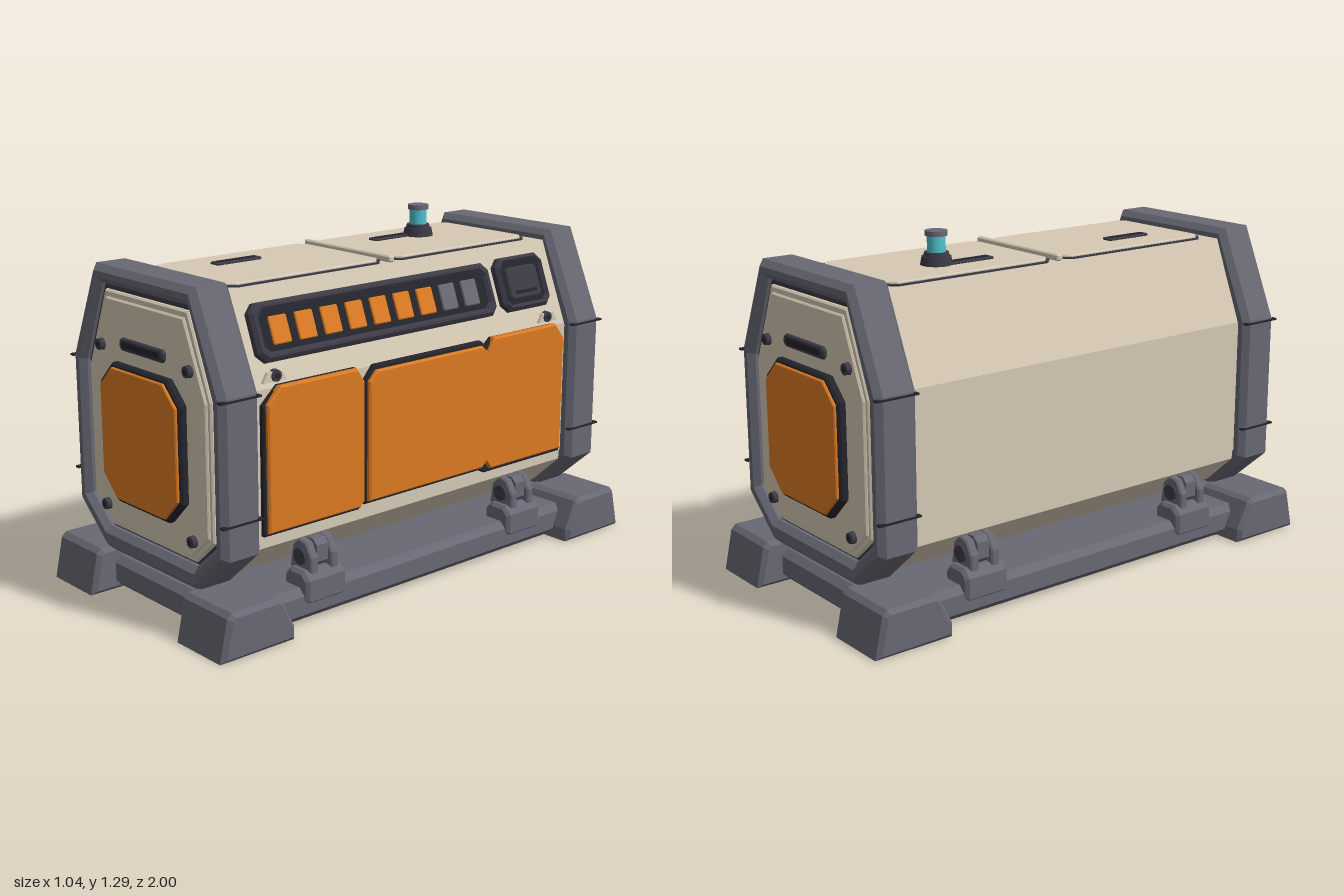
import * as THREE from 'three';

const mat = (name, color) => {
  const m = new THREE.MeshStandardMaterial({ color });
  m.name = name;
  return m;
};
const cream = mat('cream shell', 0xd6cab5);
const grey = mat('grey frame', 0x686874);
const dark = mat('dark trim', 0x3b3a46);
const black = mat('black recess', 0x24242c);
const orange = mat('orange panel', 0xdc7a22);
const teal = mat('teal lamp', 0x4fc3d0);

// Flat plate with chamfered edges: outline in xy, thickness from z = 0 towards +z
function plate(name, material, pts, depth, bevel = 0, hole = null) {
  const shape = new THREE.Shape(pts.map(p => new THREE.Vector2(...p)));
  if (hole) shape.holes.push(new THREE.Path(hole.map(p => new THREE.Vector2(...p))));
  const geo = new THREE.ExtrudeGeometry(shape, {
    depth: depth - 2 * bevel, bevelEnabled: bevel > 0,
    bevelThickness: bevel, bevelSize: bevel, bevelOffset: -bevel, bevelSegments: 1,
  });
  geo.translate(0, 0, bevel);
  const mesh = new THREE.Mesh(geo, material);
  mesh.name = name;
  return mesh;
}

// Outlines, counter-clockwise
const mirrored = half => [...half, ...half.slice().reverse().map(([x, y]) => [-x, y])];
const cutRect = (x0, x1, y0, y1, c, d = c) => [
  [x0 + c, y0], [x1 - c, y0], [x1, y0 + c], [x1, y1 - d],
  [x1 - d, y1], [x0 + d, y1], [x0, y1 - d], [x0, y0 + c]];

function cylinder(name, material, r0, r1, h, sides = 24) {
  const mesh = new THREE.Mesh(new THREE.CylinderGeometry(r0, r1, h, sides), material);
  mesh.name = name;
  return mesh;
}

// Bolt facing +z
function bolt(x, y, z) {
  const g = new THREE.Group();
  g.name = 'bolt';
  const head = cylinder('boltHead', dark, 0.02, 0.022, 0.02, 12);
  const socket = cylinder('boltSocket', black, 0.011, 0.011, 0.004, 6);
  head.rotation.x = socket.rotation.x = Math.PI / 2;
  socket.position.z = 0.01;
  g.add(head, socket);
  g.position.set(x, y, z);
  return g;
}

// One end of the casing, facing +z
function endCap() {
  const g = new THREE.Group();
  g.name = 'endCap';
  const add = (mesh, z) => { mesh.position.z = z; g.add(mesh); };
  const outer = mirrored([[0.27, 0.16], [0.44, 0.31], [0.44, 0.86], [0.29, 1.2]]);
  const hole = mirrored([[0.26, 0.245], [0.375, 0.345], [0.375, 0.84], [0.255, 1.135]]);
  add(plate('endFrame', grey, outer, 0.16, 0.022, hole), 0.765);
  add(plate('endRecess', dark, hole, 0.09), 0.8);
  add(plate('endPanel', cream, mirrored([[0.25, 0.255], [0.357, 0.35], [0.357, 0.83], [0.242, 1.115]]), 0.05, 0.006), 0.855);
  add(plate('endPanelStep', cream, mirrored([[0.238, 0.272], [0.34, 0.362], [0.34, 0.825], [0.227, 1.092]]), 0.05, 0.006), 0.863);
  add(plate('hatchFrame', black, cutRect(-0.236, 0.236, 0.375, 0.876, 0.086, 0.075), 0.035, 0.008), 0.908);
  add(plate('hatch', orange, cutRect(-0.222, 0.222, 0.389, 0.862, 0.08, 0.07), 0.03, 0.004), 0.923);
  add(plate('endGrip', dark, cutRect(-0.13, 0.13, 0.923, 0.967, 0.012), 0.018, 0.005), 0.911);
  add(plate('endGripSlot', black, cutRect(-0.11, 0.11, 0.934, 0.956, 0.006), 0.003), 0.928);
  for (const x of [-0.257, 0.257]) for (const y of [0.335, 0.92]) g.add(bolt(x, y, 0.921));
  // thin seams across the sides of the frame
  for (const s of [-1, 1]) for (const y of [0.43, 0.85]) {
    const seam = new THREE.Mesh(new THREE.BoxGeometry(0.02, 0.007, 0.166), black);
    seam.name = 'frameSeam';
    seam.position.set(s * 0.434, y, 0.847);
    g.add(seam);
  }
  return g;
}

// Hinged clamp on the +x side, centred on z = 0
function clamp() {
  const g = new THREE.Group();
  g.name = 'clamp';
  const block = plate('clampBlock', grey, cutRect(0.33, 0.457, 0.08, 0.19, 0.005, 0.03), 0.18, 0.012);
  block.position.z = -0.09;
  g.add(block);
  for (const z of [-0.063, 0.028]) {
    const lug = plate('clampLug', grey, [[0.33, 0.18], [0.445, 0.18], [0.445, 0.235], [0.415, 0.285], [0.375, 0.295], [0.345, 0.27]], 0.035, 0.006);
    lug.position.z = z;
    g.add(lug);
  }
  const pin = cylinder('clampPin', dark, 0.03, 0.03, 0.145, 16);
  pin.rotation.x = Math.PI / 2;
  pin.position.set(0.39, 0.232, 0);
  const arm = plate('clampArm', grey, cutRect(0.345, 0.43, 0.19, 0.29, 0.02), 0.05);
  arm.position.z = -0.025;
  g.add(pin, arm);
  return g;
}

// Orange panels on the +x side; drawn with x = -z of the model
function sideDoors() {
  const g = new THREE.Group();
  g.name = 'sideDoors';
  const pairs = [
    [[[-0.737, 0.348], [-0.315, 0.348], [-0.292, 0.375], [-0.292, 0.805], [-0.33, 0.862], [-0.67, 0.862], [-0.737, 0.8]],
      [[-0.727, 0.36], [-0.318, 0.36], [-0.301, 0.38], [-0.301, 0.81], [-0.335, 0.862], [-0.672, 0.862], [-0.727, 0.805]]],
    [[[-0.29, 0.36], [0.285, 0.36], [0.315, 0.345], [0.737, 0.345], [0.737, 0.8], [0.68, 0.862], [0.34, 0.862], [0.31, 0.835], [0.285, 0.858], [-0.245, 0.858], [-0.29, 0.805]],
      [[-0.28, 0.372], [0.29, 0.372], [0.31, 0.39], [0.335, 0.36], [0.727, 0.36], [0.727, 0.805], [0.68, 0.865], [0.34, 0.865], [0.31, 0.815], [0.28, 0.842], [-0.245, 0.842], [-0.28, 0.805]]]];
  for (const [back, front] of pairs) {
    g.add(plate('doorTrim', black, back, 0.025, 0.005));
    const door = plate('door', orange, front, 0.03, 0.006);
    door.position.z = 0.01;
    g.add(door);
  }
  for (const s of [-1, 1]) {
    const tab = plate('boltTab', cream, [[s * 0.62, 0.87], [s * 0.72, 0.87], [s * 0.7, 0.905], [s * 0.64, 0.905]], 0.012);
    tab.position.z = -0.008;
    g.add(tab, bolt(s * 0.665, 0.89, 0.0));
  }
  g.rotation.y = Math.PI / 2;
  g.position.x = 0.39;
  return g;
}

// Gauge and switch on the +x slope; local z points out of the slope
function controls() {
  const g = new THREE.Group();
  g.name = 'controls';
  const add = (mesh, z) => { mesh.position.z = z; g.add(mesh); };
  add(plate('gaugeFrame', dark, cutRect(-0.728, 0.396, -0.1, 0.1, 0.03), 0.045, 0.012, cutRect(-0.692, 0.36, -0.068, 0.068, 0.02)), 0);
  add(plate('gaugeBack', black, cutRect(-0.7, 0.37, -0.075, 0.075, 0.02), 0.03), 0);
  for (let i = 0; i < 9; i++) {
    const x = -0.617 + i * 0.1118;
    add(plate('gaugeCell', i < 7 ? orange : grey, cutRect(x - 0.038, x + 0.038, -0.048, 0.048, 0.004), 0.012, 0.003), 0.026);
  }
  add(plate('switchFrame', dark, cutRect(0.434, 0.69, -0.1, 0.105, 0.03), 0.045, 0.012, cutRect(0.46, 0.665, -0.076, 0.08, 0.02)), 0);
  add(plate('switchBack', black, cutRect(0.45, 0.675, -0.085, 0.09, 0.02), 0.03), 0);
  add(plate('switchRocker', dark, cutRect(0.478, 0.647, -0.06, 0.064, 0.012), 0.016, 0.006), 0.026);
  add(plate('switchSlit', black, cutRect(0.505, 0.62, -0.04, -0.028, 0.002), 0.003), 0.041);
  const up = new THREE.Vector3(-0.12, 0.31, 0).normalize();
  const side = new THREE.Vector3(0, 0, -1);
  const out = new THREE.Vector3().crossVectors(side, up);
  g.quaternion.setFromRotationMatrix(new THREE.Matrix4().makeBasis(side, up, out));
  g.position.set(0.325, 1.02, 0);
  return g;
}

// Lids and grips on the roof; drawn with y = -z of the model
function roof() {
  const g = new THREE.Group();
  g.name = 'roof';
  const add = (mesh, z) => { mesh.position.z = z; g.add(mesh); };
  for (const [a, b, h0, h1] of [[-0.725, -0.02, -0.55, -0.35], [0.025, 0.733, 0.2, 0.4]]) {
    add(plate('lidSeam', dark, cutRect(-0.243, 0.227, a, b, 0.035), 0.006), 0);
    add(plate('lid', cream, cutRect(-0.233, 0.217, a + 0.01, b - 0.01, 0.031), 0.014, 0.004), 0);
    add(plate('lidGrip', dark, cutRect(-0.116, -0.066, h0, h1, 0.008), 0.01, 0.003), 0.012);
    add(plate('lidGripSlot', black, cutRect(-0.102, -0.08, h0 + 0.015, h1 - 0.015, 0.004), 0.002), 0.0215);
  }
  add(plate('lidHinge', cream, cutRect(-0.24, 0.235, -0.012, 0.014, 0.004), 0.024, 0.005), 0);
  g.rotation.x = -Math.PI / 2;
  g.position.y = 1.161;
  return g;
}

// Signal lamp on the roof
function beacon() {
  const g = new THREE.Group();
  g.name = 'beacon';
  for (const [name, m, r0, r1, y0, y1] of [
    ['beaconFoot', dark, 0.052, 0.059, 1.17, 1.205], ['beaconCollar', dark, 0.043, 0.046, 1.205, 1.22],
    ['beaconLamp', teal, 0.033, 0.033, 1.22, 1.28], ['beaconCap', grey, 0.04, 0.04, 1.277, 1.295]]) {
    const c = cylinder(name, m, r0, r1, y1 - y0);
    c.position.y = (y0 + y1) / 2;
    g.add(c);
  }
  g.position.set(-0.068, 0, -0.42);
  return g;
}

export function createModel() {
  const model = new THREE.Group();
  model.name = 'generator';

  const shell = plate('shell', cream, mirrored([[0.26, 0.18], [0.39, 0.3], [0.39, 0.85], [0.27, 1.16]]), 1.64);
  shell.position.z = -0.82;
  model.add(shell, sideDoors(), controls(), roof(), beacon());

  // base plate
  const base = plate('base', grey, cutRect(-0.44, 0.44, -0.9, 0.9, 0.03), 0.118, 0.025);
  base.rotation.x = -Math.PI / 2;
  base.position.y = 0.012;
  model.add(base);

  // both ends, four feet and four clamps
  for (const s of [1, -1]) {
    const end = endCap();
    end.rotation.y = s > 0 ? 0 : Math.PI;
    model.add(end);
    for (const t of [1, -1]) {
      const foot = plate('foot', grey, [[-1, 0], [-0.69, 0], [-0.69, 0.05], [-0.74, 0.155], [-0.76, 0.168], [-0.95, 0.168], [-0.968, 0.15]], 0.268, 0.016);
      foot.geometry.translate(0, 0, -0.134);
      foot.rotation.y = s * Math.PI / 2;
      foot.position.x = t * 0.385;
      const c = clamp();
      c.rotation.y = s > 0 ? 0 : Math.PI;
      c.position.z = t * 0.5;
      model.add(foot, c);
    }
  }
  return model;
}
